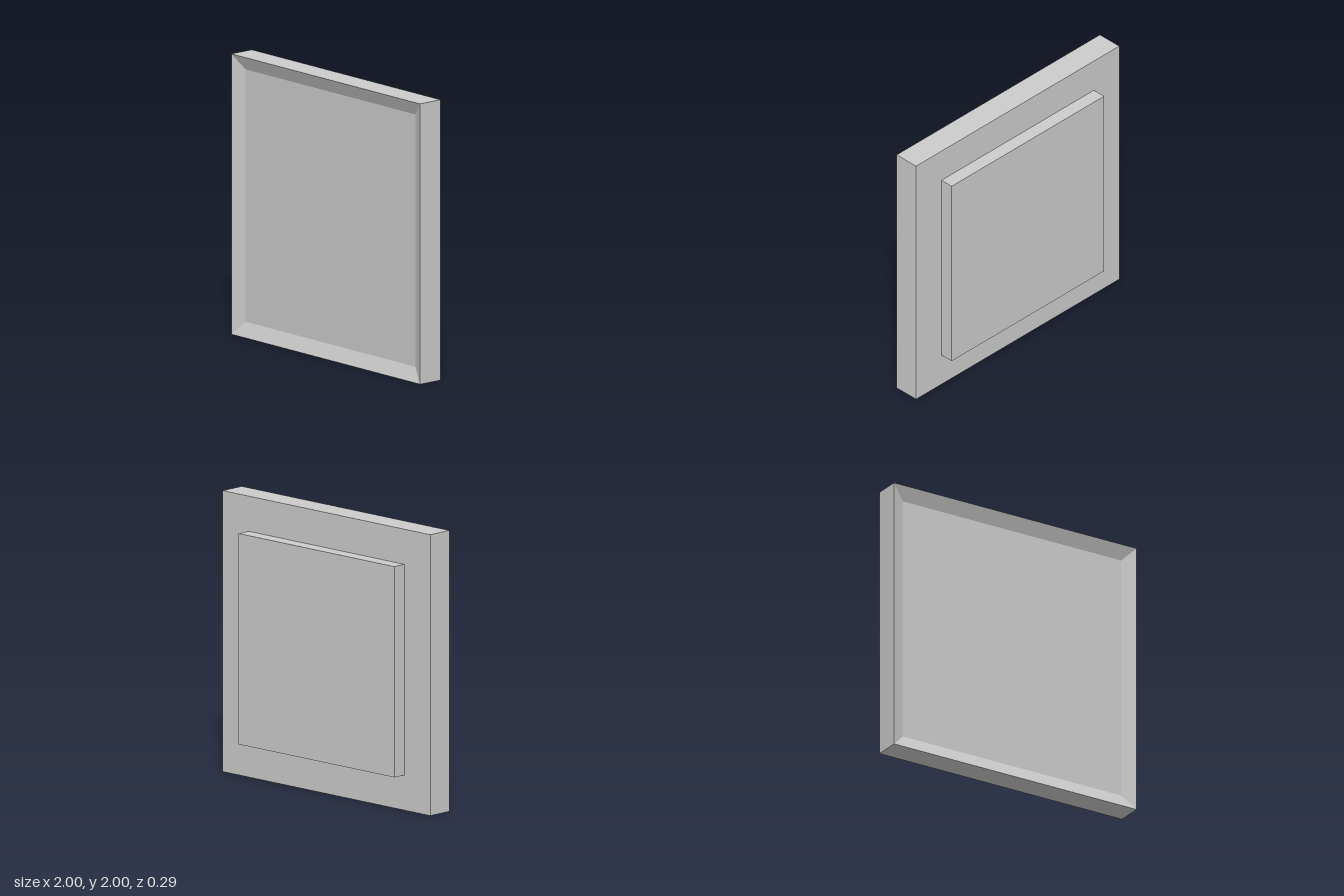
import * as THREE from 'three';

const BACK = -0.145, STEP = -0.045, FRONT = 0.145;
const RECESS = 0.045;

export function createModel() {
  const group = new THREE.Group();
  const material = new THREE.MeshStandardMaterial({ color: 0xcccccc, flatShading: true });

  // Square panel with a sloped, recessed front: a four-sided lathe around z
  const profile = [
    [0, STEP], [1, STEP], [1, FRONT], [0.9, FRONT - RECESS], [0, FRONT - RECESS],
  ].map(([half, z]) => new THREE.Vector2(half * Math.SQRT2, z));
  const panelGeometry = new THREE.LatheGeometry(profile, 4, Math.PI / 4);
  panelGeometry.rotateX(Math.PI / 2);
  const panel = new THREE.Mesh(panelGeometry, material);
  panel.name = 'recessedPanel';
  panel.position.y = 1;
  group.add(panel);

  // Smaller square block on the back
  const backBlock = new THREE.Mesh(new THREE.BoxGeometry(1.5, 1.5, STEP - BACK), material);
  backBlock.name = 'backBlock';
  backBlock.position.set(0, 1, (STEP + BACK) / 2);
  group.add(backBlock);

  return group;
}
